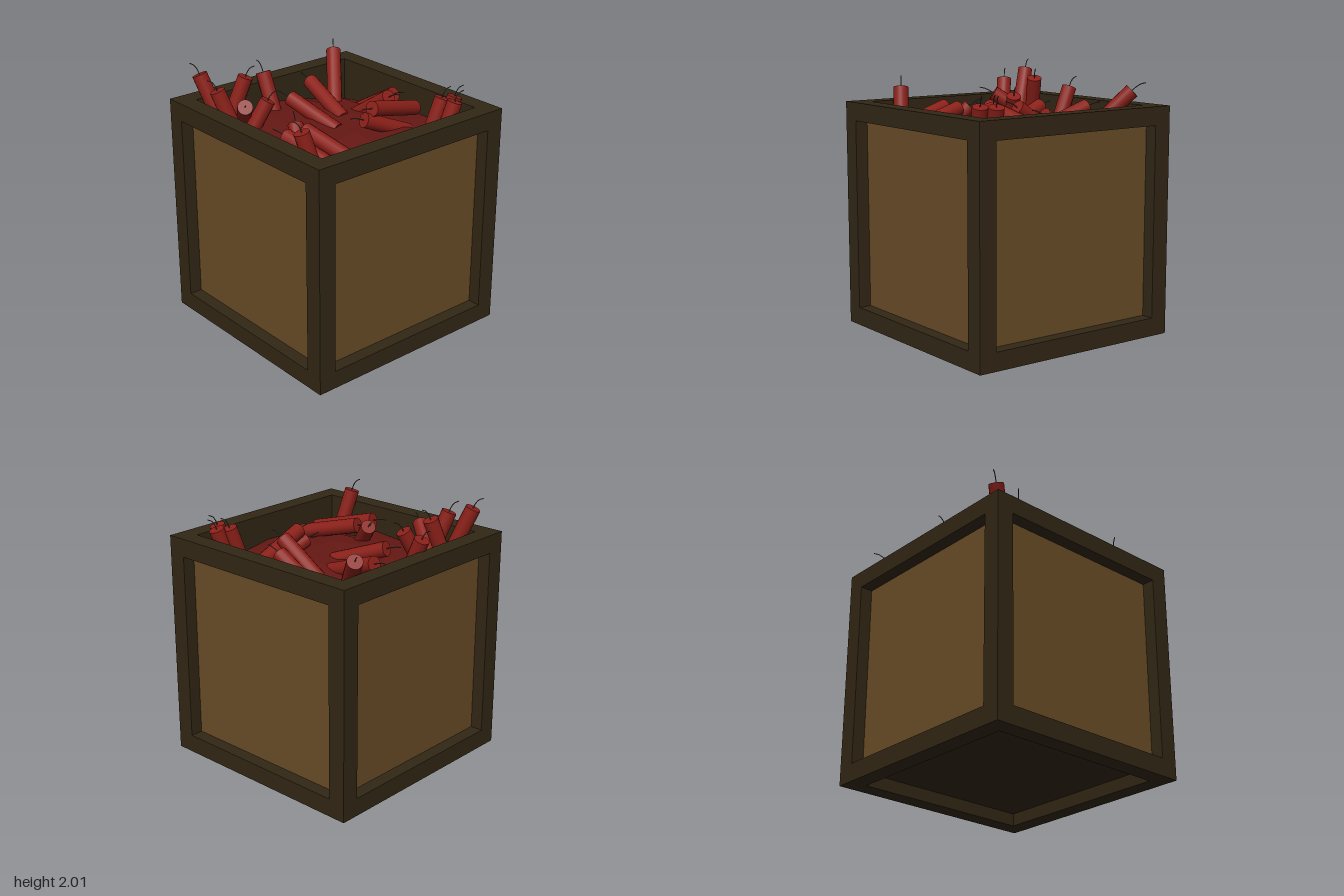
import * as THREE from 'three';

const wood = new THREE.MeshStandardMaterial({ color: 0x322715 });
const board = new THREE.MeshStandardMaterial({ color: 0x6a4d27 });
const red = new THREE.MeshStandardMaterial({ color: 0x8c2019 });
const heapRed = new THREE.MeshStandardMaterial({ color: 0x661814, flatShading: true });
const cord = new THREE.MeshStandardMaterial({ color: 0x50504c });

const SIZE = 1.74, HALF = SIZE / 2, BAR = 0.14, INNER = HALF - BAR;
const UP = new THREE.Vector3(0, 1, 0);

function box(name, material, w, h, d, x, y, z) {
  const mesh = new THREE.Mesh(new THREE.BoxGeometry(w, h, d), material);
  mesh.position.set(x, y, z);
  mesh.name = name;
  return mesh;
}

// Open crate: square posts, rails, recessed boards and a dark lining
function makeCrate() {
  const crate = new THREE.Group();
  crate.name = 'crate';
  const mid = HALF - BAR / 2, span = SIZE - 2 * BAR;
  for (const sx of [-1, 1]) for (const sz of [-1, 1]) {
    crate.add(box('cornerPost', wood, BAR, SIZE, BAR, sx * mid, HALF, sz * mid));
  }
  for (let i = 0; i < 4; i++) {
    const side = new THREE.Group();
    side.name = 'side';
    side.rotation.y = i * Math.PI / 2;
    for (const y of [BAR / 2, SIZE - BAR / 2]) {
      side.add(box('rail', wood, span, BAR, BAR, 0, y, mid));
    }
    side.add(box('sideBoard', board, span, span, 0.03, 0, HALF, 0.755));
    side.add(box('lining', wood, span, span, 0.01, 0, HALF, 0.735));
    crate.add(side);
  }
  crate.add(box('floorBoard', wood, span, 0.04, span, 0, 0.12, 0));
  return crate;
}

// Low-poly mound that fills the crate, lower towards the corners
function makeHeap() {
  const geo = new THREE.PlaneGeometry(2 * INNER, 2 * INNER, 6, 6).rotateX(-Math.PI / 2);
  const p = geo.attributes.position;
  for (let i = 0; i < p.count; i++) {
    const x = p.getX(i) / INNER, z = p.getZ(i) / INNER;
    const bump = 0.02 * Math.sin(i * 2.3);
    p.setY(i, 1.58 - 0.05 * (x * x + z * z) - 0.1 * x * x * z * z + bump);
  }
  geo.computeVertexNormals();
  const heap = new THREE.Mesh(geo, heapRed);
  heap.name = 'heap';
  return heap;
}

// One stick from its fuse end to its far end; the fuse droops on the way the stick leans
function makeStick(tip, end) {
  const stick = new THREE.Group();
  stick.name = 'stick';
  const a = new THREE.Vector3(...tip), b = new THREE.Vector3(...end);
  const dir = a.clone().sub(b), length = dir.length();
  dir.normalize();
  const body = new THREE.Mesh(new THREE.CylinderGeometry(0.058, 0.058, length, 14), red);
  body.position.copy(a).add(b).multiplyScalar(0.5);
  body.quaternion.setFromUnitVectors(UP, dir);
  body.name = 'stickBody';
  const bend = new THREE.Vector3(dir.x, 0, dir.z).setLength(0.04);
  const path = new THREE.CatmullRomCurve3([
    a.clone().addScaledVector(dir, -0.01),
    a.clone().addScaledVector(dir, 0.035),
    a.clone().addScaledVector(dir, 0.07).addScaledVector(bend, 0.3),
    a.clone().addScaledVector(dir, 0.085).add(bend),
  ]);
  const fuse = new THREE.Mesh(new THREE.TubeGeometry(path, 10, 0.004, 5), cord);
  fuse.name = 'fuse';
  stick.add(body, fuse);
  return stick;
}

function makeSticks() {
  const sticks = new THREE.Group();
  sticks.name = 'sticks';
  const add = (tip, end) => sticks.add(makeStick(tip, end));
  // back left cluster
  add([-0.69, 1.93, -0.73], [-0.57, 1.42, -0.54]);
  add([-0.69, 1.86, -0.51], [-0.55, 1.38, -0.38]);
  add([-0.38, 1.88, -0.58], [-0.54, 1.4, -0.67]);
  add([-0.58, 1.76, -0.32], [-0.37, 1.52, -0.63]);
  add([-0.35, 1.75, -0.35], [-0.54, 1.36, -0.45]);
  // back row
  add([-0.11, 1.82, -0.72], [-0.1, 1.35, -0.52]);
  add([0.61, 1.84, -0.73], [0.38, 1.48, -0.44]);
  // middle
  add([-0.09, 1.69, -0.41], [0.01, 1.53, 0.02]);
  add([0.25, 1.7, -0.59], [0.2, 1.53, -0.13]);
  add([0.38, 1.75, 0.18], [0.37, 1.47, -0.24]);
  add([0.54, 1.7, 0.06], [0.53, 1.47, -0.33]);
  add([0.14, 1.74, 0.26], [0.65, 1.6, 0.18]);
  add([0.08, 1.66, 0.24], [0.46, 1.5, 0.31]);
  // front left: a parallel pair and two steeper ones
  for (const x of [-0.58, -0.4]) add([x, 1.68, 0.15], [x + 0.09, 1.54, 0.67]);
  add([-0.4, 1.69, 0.04], [-0.54, 1.42, 0.28]);
  add([-0.7, 1.84, 0.48], [-0.58, 1.37, 0.56]);
  // front right: three leaning the same way
  for (const [x, z] of [[0.58, 0.54], [0.59, 0.66], [0.67, 0.58]]) {
    add([x, 1.8, z], [x - 0.14, 1.34, z - 0.06]);
  }
  return sticks;
}

export function createModel() {
  const model = new THREE.Group();
  model.name = 'crateOfSticks';
  model.add(makeCrate(), makeHeap(), makeSticks());
  return model;
}
